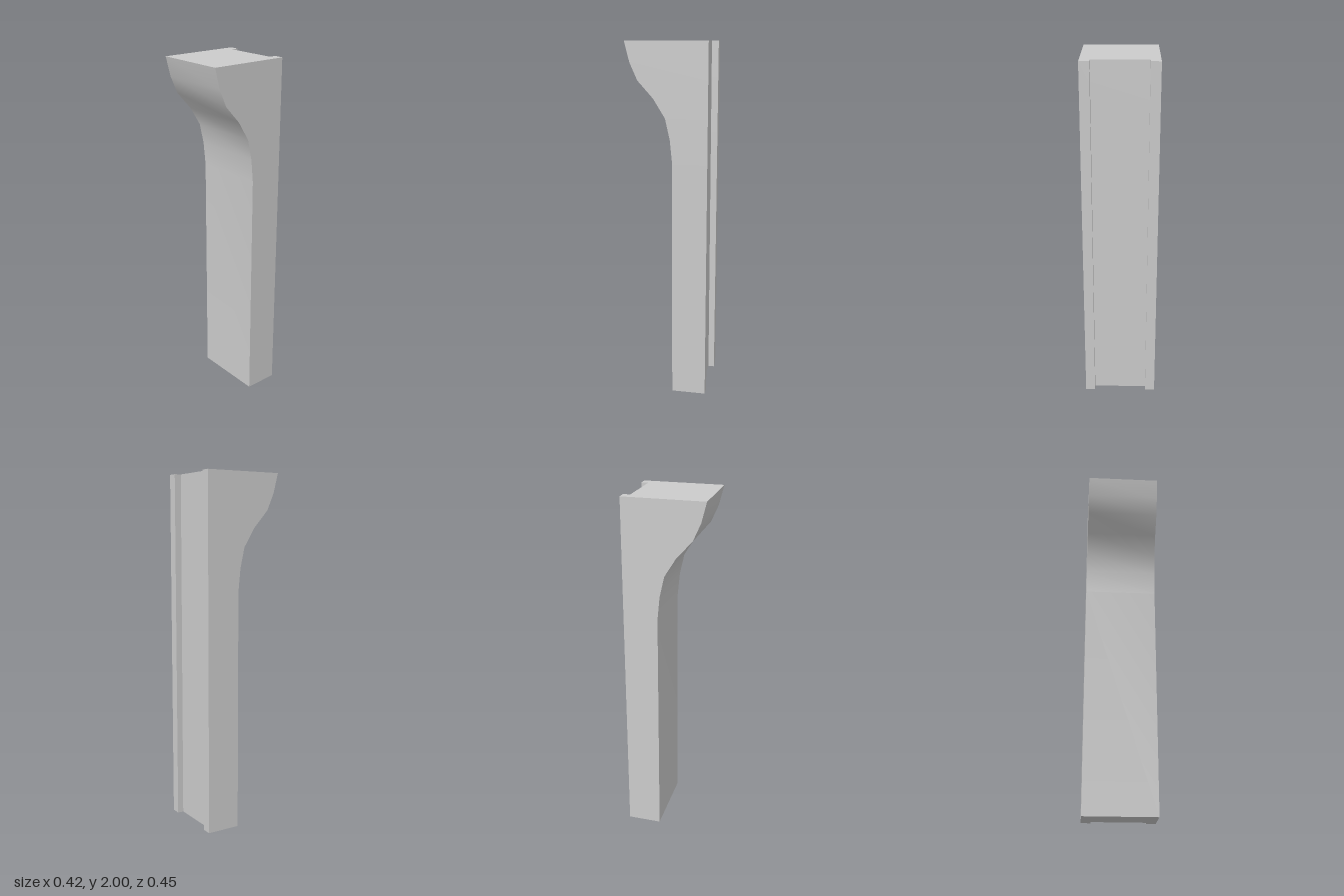
import * as THREE from 'three';
import { toCreasedNormals } from 'three/addons/utils/BufferGeometryUtils.js';

// Front face profile, bottom to top: [height, z]
const PROFILE = [
  [0, -0.034], [1.35, -0.034], [1.48, -0.021], [1.595, 0.005], [1.7, 0.07],
  [1.795, 0.156], [1.89, 0.198], [2, 0.226],
];
const HALF_WIDTH = 0.208, GROOVE = 0.153, BACK = -0.227;
const FLOOR_BOTTOM = -0.192, FLOOR_TOP = -0.188;

export function createModel() {
  const group = new THREE.Group();
  group.name = 'bracketPost';

  // Channel-shaped cross-section with a groove along the back (shape y is -z)
  const section = new THREE.Shape([
    [-HALF_WIDTH, 0], [HALF_WIDTH, 0], [HALF_WIDTH, -BACK], [GROOVE, -BACK],
    [GROOVE, -FLOOR_BOTTOM], [-GROOVE, -FLOOR_BOTTOM], [-GROOVE, -BACK], [-HALF_WIDTH, -BACK],
  ].map(([x, y]) => new THREE.Vector2(x, y)));

  // One extrusion step per profile point
  const steps = PROFILE.length - 1;
  const geometry = new THREE.ExtrudeGeometry(section, { depth: steps, steps, bevelEnabled: false });
  geometry.rotateX(-Math.PI / 2);

  // Move each layer to its height, push the front out, lean the groove floor slightly
  const pos = geometry.attributes.position;
  for (let i = 0; i < pos.count; i++) {
    const [y, front] = PROFILE[Math.round(pos.getY(i))];
    const z = pos.getZ(i);
    pos.setY(i, y);
    if (z > -0.01) pos.setZ(i, front);
    else if (z > -0.21) pos.setZ(i, THREE.MathUtils.lerp(FLOOR_BOTTOM, FLOOR_TOP, y / 2));
  }

  const material = new THREE.MeshStandardMaterial({ color: 0xcccccc });
  const post = new THREE.Mesh(toCreasedNormals(geometry, 0.6), material);
  post.name = 'groovedPost';
  group.add(post);
  return group;
}
